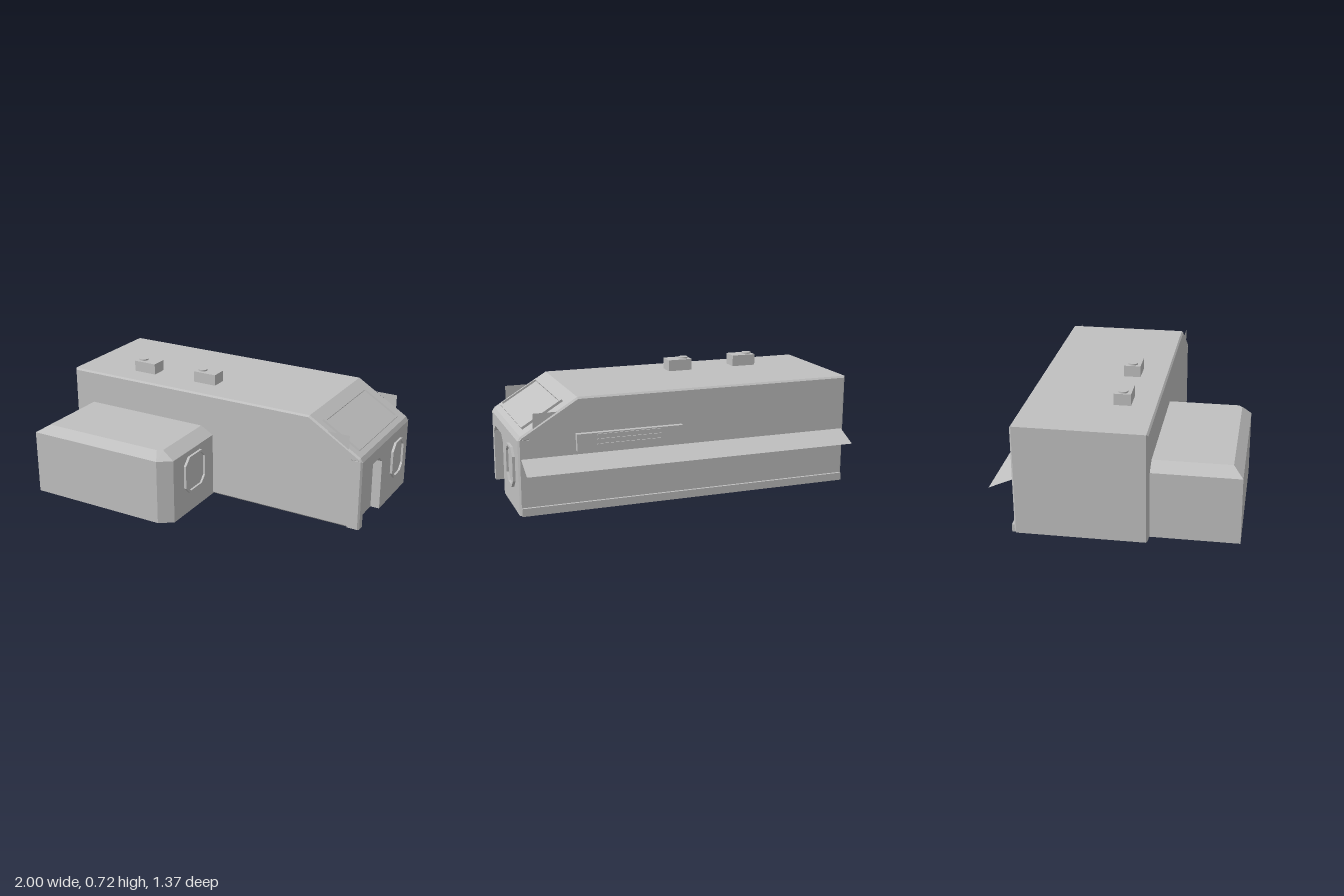
import * as THREE from 'three';

const grey = new THREE.MeshStandardMaterial({ color: 0xc0c0c0 });
grey.name = 'grey';
const greySheet = new THREE.MeshStandardMaterial({ color: 0xc0c0c0, side: THREE.DoubleSide });
greySheet.name = 'greySheet';

const shapeOf = (pts) => new THREE.Shape(pts.map(([x, y]) => new THREE.Vector2(x, y)));
const extrude = (shape, depth) => new THREE.ExtrudeGeometry(shape, { depth, bevelEnabled: false });

// Rectangle with cut corners, centred on the origin
function cutRect(w, h, c) {
  const x = w / 2, y = h / 2;
  if (!c) return [[-x, -y], [x, -y], [x, y], [-x, y]];
  return [[-x + c, -y], [x - c, -y], [x, -y + c], [x, y - c],
    [x - c, y], [-x + c, y], [-x, y - c], [-x, -y + c]];
}

function frameGeometry(w, h, c, border, depth) {
  const shape = shapeOf(cutRect(w, h, c));
  shape.holes.push(shapeOf(cutRect(w - 2 * border, h - 2 * border, c && c - border * 0.5)));
  return extrude(shape, depth);
}

// Closed solid through stacked rings of [x, z] points
function loft(rings) {
  const pos = [];
  const tri = (...p) => p.forEach((v) => pos.push(...v));
  const pts = rings.map(({ y, ring }) => ring.map(([x, z]) => [x, y, z]));
  const n = pts[0].length;
  for (let r = 0; r < pts.length - 1; r++) {
    for (let i = 0; i < n; i++) {
      const j = (i + 1) % n, lo = pts[r], hi = pts[r + 1];
      tri(lo[i], lo[j], hi[j]);
      tri(lo[i], hi[j], hi[i]);
    }
  }
  const bottom = pts[0], top = pts[pts.length - 1];
  for (let i = 1; i < n - 1; i++) {
    tri(top[0], top[i], top[i + 1]);
    tri(bottom[0], bottom[i + 1], bottom[i]);
  }
  const g = new THREE.BufferGeometry();
  g.setAttribute('position', new THREE.Float32BufferAttribute(pos, 3));
  g.computeVertexNormals();
  return g;
}

export function createModel() {
  const model = new THREE.Group();
  model.name = 'building';
  const add = (name, geometry, x = 0, y = 0, z = 0, parent = model, material = grey) => {
    const mesh = new THREE.Mesh(geometry, material);
    mesh.name = name;
    mesh.position.set(x, y, z);
    parent.add(mesh);
    return mesh;
  };
  // Box given by its limits
  const box = (name, x0, x1, y0, y1, z0, z1) => add(name,
    new THREE.BoxGeometry(x1 - x0, y1 - y0, z1 - z0), (x0 + x1) / 2, (y0 + y1) / 2, (z0 + z1) / 2);

  // Main hall with sloped end and a lip over the entrance wall
  const hall = new THREE.ExtrudeGeometry(shapeOf([[-0.995, 0], [0.93, 0], [0.93, 0.42],
    [0.985, 0.42], [0.97, 0.445], [0.65, 0.64], [-0.995, 0.64]]), {
    depth: 0.72, bevelEnabled: true, bevelSegments: 1,
    bevelSize: 0.01, bevelThickness: 0.01, bevelOffset: -0.01,
  });
  add('mainHall', hall, 0, 0, -0.545);

  // Entrance wall with the doorway cut through it
  const wall = shapeOf([[-0.175, 0], [-0.135, 0], [-0.135, 0.31], [-0.09, 0.35], [0.085, 0.35],
    [0.13, 0.31], [0.13, 0], [0.545, 0], [0.545, 0.42], [-0.175, 0.42]]);
  add('entranceWall', extrude(wall, 0.055), 0.93).rotation.y = Math.PI / 2;

  // Chamfered posts on the outer corners of the entrance wall
  const post = (z0, z1) => {
    const p = [[0.91, z0], [0.985, z0], [0.975, z1], [0.91, z1]];
    if (z1 > z0) p.reverse();
    return loft([{ y: 0, ring: p }, { y: 0.425, ring: p }]);
  };
  add('cornerPost', post(0.175, 0.185));
  add('cornerPost', post(-0.545, -0.555));

  // Side annex with chamfered corner and roof edges
  const foot = [[-0.93, 0.68], [-0.06, 0.68], [0.02, 0.625], [0.02, 0.17], [-0.93, 0.17]];
  const roof = [[-0.86, 0.625], [-0.09, 0.625], [-0.06, 0.605], [-0.06, 0.17], [-0.86, 0.17]];
  add('annex', loft([{ y: 0, ring: foot }, { y: 0.39, ring: foot }, { y: 0.435, ring: roof }]));

  // Octagonal windows on the end walls
  for (const [x, z, w] of [[0.985, -0.368, 0.185], [0.02, 0.402, 0.225]]) {
    const win = new THREE.Group();
    win.name = 'octagonWindow';
    win.position.set(x, 0.242, z);
    win.rotation.y = Math.PI / 2;
    model.add(win);
    add('windowFrame', frameGeometry(w, 0.23, 0.045, 0.014, 0.015), 0, 0, 0, win);
    add('windowPane', extrude(shapeOf(cutRect(w - 0.02, 0.21, 0.04)), 0.002), 0, 0, 0, win);
  }

  // Raised skylight on the slope
  const skylight = new THREE.Group();
  skylight.name = 'skylight';
  skylight.position.set(0.825, 0.533, -0.168);
  skylight.rotation.z = -Math.atan2(0.195, 0.32);
  model.add(skylight);
  add('skylightFrame', frameGeometry(0.27, 0.6, 0, 0.015, 0.014), 0, 0, 0, skylight).rotation.x = -Math.PI / 2;
  add('skylightPane', new THREE.BoxGeometry(0.25, 0.004, 0.58), 0, 0.001, 0, skylight);

  // Thin triangular fins at both sides of the slope
  const fin = new THREE.ShapeGeometry(shapeOf([[0.765, 0.568], [0.9, 0.483], [0.9, 0.568]]));
  for (const z of [-0.55, 0.18]) add('slopeFin', fin, 0, 0, z, model, greySheet);

  // Rear awning sheet
  const awning = add('awning', new THREE.PlaneGeometry(1.95, Math.hypot(0.135, 0.06)),
    -0.005, 0.29, -0.6225, model, greySheet);
  awning.rotation.x = -Math.PI / 2 - Math.atan2(0.06, 0.135);

  // Rear plinth and louvred vent
  box('plinth', -0.985, 0.975, 0, 0.045, -0.57, -0.55);
  box('ventPanel', 0.05, 0.665, 0.345, 0.44, -0.585, -0.55);
  for (const y of [0.375, 0.403, 0.43]) box('ventLouvre', 0.18, 0.55, y - 0.004, y + 0.004, -0.591, -0.58);

  // Roof units with round caps
  for (const [x0, z0] of [[-0.632, -0.06], [-0.204, -0.072]]) {
    box('roofUnit', x0, x0 + 0.148, 0.63, 0.707, z0, z0 + 0.098);
    add('roofUnitCap', new THREE.CylinderGeometry(0.028, 0.028, 0.012, 16), x0 + 0.036, 0.71, z0 + 0.05);
  }
  return model;
}
